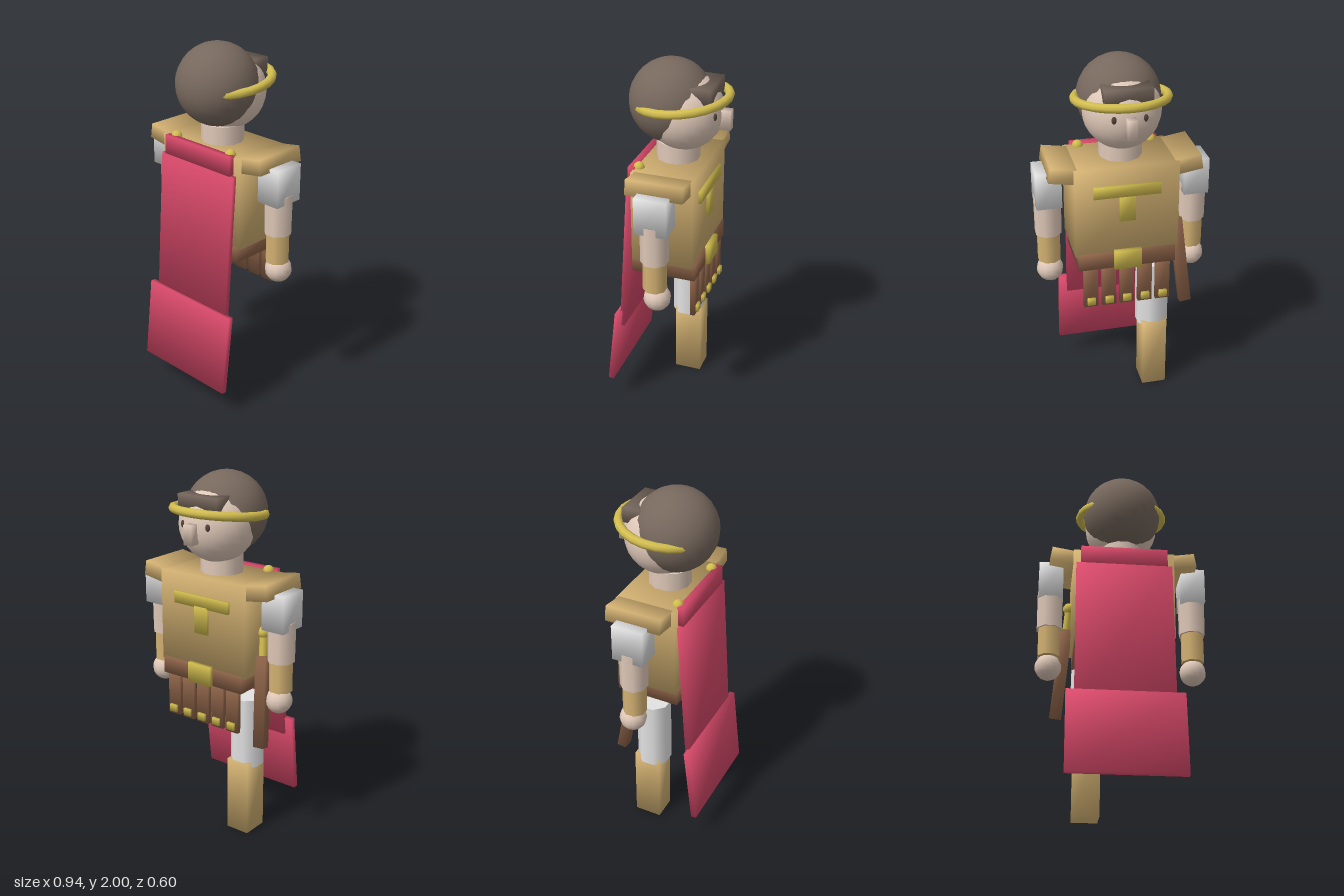
import * as THREE from 'three';

const mat = (name, color) => {
  const m = new THREE.MeshStandardMaterial({ color });
  m.name = name;
  return m;
};

export function createModel() {
  const root = new THREE.Group();
  root.name = 'soldier';

  const skin = mat('skin', 0xdfc8b8);
  const hair = mat('hair', 0x77685d);
  const bronze = mat('bronze', 0xd4b273);
  const gold = mat('gold', 0xd2bd4f);
  const leather = mat('leather', 0x8f6449);
  const cloth = mat('white cloth', 0xe2e2e2);
  const red = mat('red cloth', 0xdb4a6b);
  const dark = mat('eye', 0x52443c);

  const add = (name, geo, material, x, y, z, rx = 0, rz = 0) => {
    const m = new THREE.Mesh(geo, material);
    m.name = name;
    m.position.set(x, y, z);
    m.rotation.set(rx, 0, rz);
    root.add(m);
    return m;
  };

  // Box whose corner normals point outward, for soft shading across faces
  const softBox = (w, h, d) => {
    const g = new THREE.BoxGeometry(w, h, d);
    const p = g.attributes.position;
    const n = new THREE.Vector3();
    for (let i = 0; i < p.count; i++) {
      n.set(Math.sign(p.getX(i)), Math.sign(p.getY(i)), Math.sign(p.getZ(i))).normalize();
      g.attributes.normal.setXYZ(i, n.x, n.y, n.z);
    }
    return g;
  };
  const ball = (r, w = 16, h = 12) => new THREE.SphereGeometry(r, w, h);
  const drum = (top, bottom, h, sides = 8) =>
    new THREE.CylinderGeometry(top, bottom, h, sides, 1, false, Math.PI / sides);

  // Thin slab leaning between two points in the YZ plane
  const panel = (name, w, thick, y0, z0, y1, z1) => add(
    name, softBox(w, Math.hypot(y1 - y0, z1 - z0), thick), red,
    0, (y0 + y1) / 2, (z0 + z1) / 2, Math.atan2(z1 - z0, y1 - y0));

  // Head, hair and wreath; the face looks toward -z
  add('head', ball(0.206, 24, 16), skin, 0, 1.735, -0.05);
  add('hair', ball(0.22, 24, 16), hair, 0, 1.78, 0.023);
  add('fringe', softBox(0.25, 0.08, 0.12), hair, 0, 1.86, -0.162);
  add('nose', softBox(0.05, 0.105, 0.06), skin, 0, 1.712, -0.27);
  add('neck', drum(0.115, 0.115, 0.12, 12), skin, 0, 1.51, -0.015);
  add('wreath', new THREE.TorusGeometry(0.24, 0.024, 8, 24), gold, 0, 1.797, -0.04, Math.PI / 2 + 0.115);

  // Cuirass, belt and chest ornament
  add('cuirass', softBox(0.56, 0.51, 0.335), bronze, 0, 1.215, -0.018);
  add('belt', softBox(0.53, 0.095, 0.352), leather, 0, 0.928, -0.02);
  add('buckle', softBox(0.15, 0.11, 0.025), gold, 0, 0.935, -0.206);
  add('chestBar', softBox(0.36, 0.065, 0.025), gold, 0, 1.335, -0.188);
  add('chestStem', softBox(0.085, 0.15, 0.025), gold, 0, 1.235, -0.188);

  // Hanging belt strips with metal tips
  for (let i = -2; i <= 2; i++) {
    add('beltStrip', softBox(0.078, 0.25, 0.026), leather, i * 0.1, 0.768, -0.177);
    add('stripTip', softBox(0.045, 0.04, 0.02), gold, i * 0.1, 0.68, -0.195);
  }

  // Paired parts
  for (const s of [-1, 1]) {
    const x = s * 0.398;
    add('eye', ball(0.02, 10, 8), dark, s * 0.08, 1.75, -0.235).scale.set(0.7, 1, 0.5);
    add('shoulderPlate', softBox(0.22, 0.082, 0.307), bronze, s * 0.295, 1.434, -0.023, 0, s * 0.16);
    add('capePin', ball(0.03, 10, 8), gold, s * 0.2, 1.47, 0.13);
    add('sleeve', softBox(0.135, 0.2, 0.173), cloth, x, 1.33, -0.024);
    add('forearm', drum(0.076, 0.074, 0.22), skin, x, 1.16, -0.024);
    add('bracer', drum(0.064, 0.064, 0.18), bronze, x, 0.975, -0.024);
    add('hand', ball(0.073, 12, 10), skin, x, 0.832, -0.036);
  }

  // Single standing leg
  add('thigh', drum(0.094, 0.094, 0.4), cloth, -0.183, 0.6, -0.023);
  add('boot', softBox(0.138, 0.43, 0.152), bronze, -0.183, 0.215, -0.037);

  // Sheathed sword hanging beside the leg
  const sword = new THREE.Group();
  sword.name = 'sword';
  sword.position.set(-0.325, 0.82, -0.09);
  sword.rotation.set(0.15, 0, -0.09);
  const swordPart = (name, geo, material, y) => {
    const m = new THREE.Mesh(geo, material);
    m.name = name;
    m.position.y = y;
    sword.add(m);
  };
  swordPart('scabbard', softBox(0.065, 0.5, 0.05), leather, 0);
  swordPart('grip', drum(0.023, 0.023, 0.13), gold, 0.3);
  swordPart('pommel', ball(0.034, 12, 8), gold, 0.375);
  root.add(sword);

  // Cape in three overlapping panels on the back
  panel('capeCollar', 0.48, 0.035, 1.375, 0.163, 1.48, 0.16);
  panel('capeUpper', 0.53, 0.025, 0.5, 0.226, 1.375, 0.167);
  panel('capeLower', 0.62, 0.03, 0.147, 0.286, 0.597, 0.235);

  return root;
}
